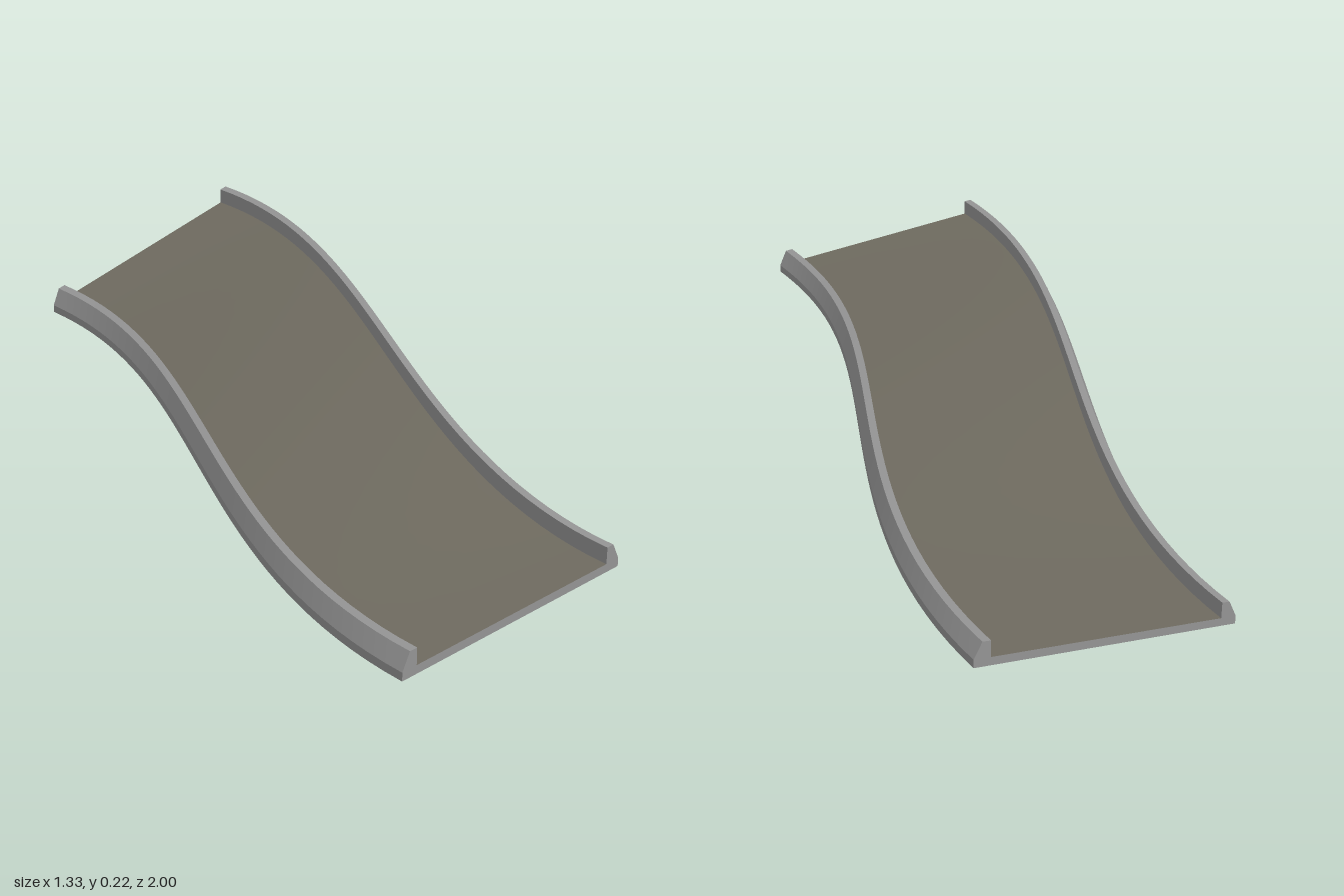
import * as THREE from 'three';

const STEPS = 40;
const HALF = 0.3333;
const smooth = (t) => t * t * (3 - 2 * t);

// Cross-section of the track, counter-clockwise seen from the front
const PROFILE = [
  [-HALF, 0], [HALF, 0], [HALF, 0.02], [0.313, 0.06], [0.293, 0.06],
  [0.293, 0.02], [-0.293, 0.02], [-0.293, 0.06], [-0.313, 0.06], [-HALF, 0.02],
];
const FLOOR_EDGE = 5;

// Place a section point at t along the S bend; the +x side climbs into a bank
function place([u, v], t) {
  const bank = 2 * HALF * 0.25 * smooth(Math.pow(t, 0.85));
  const x = u - HALF + 2 * HALF * smooth(t);
  return [x, v + bank * (u + HALF) / (2 * HALF), 1 - 2 * t];
}

// Sweep separate section edges so that corners along the track stay sharp
function sweep(edges) {
  const pos = [], index = [];
  for (const e of edges) {
    const base = pos.length / 3;
    for (let s = 0; s <= STEPS; s++) {
      pos.push(...place(PROFILE[e], s / STEPS), ...place(PROFILE[(e + 1) % PROFILE.length], s / STEPS));
    }
    for (let s = 0; s < STEPS; s++) {
      const a = base + 2 * s;
      index.push(a, a + 2, a + 1, a + 1, a + 2, a + 3);
    }
  }
  return build(pos, index);
}

// Flat end face of the track
function cap(t) {
  const pos = PROFILE.flatMap((p) => place(p, t));
  const tris = THREE.ShapeUtils.triangulateShape(PROFILE.map((p) => new THREE.Vector2(...p)), []);
  return build(pos, tris.flatMap(([a, b, c]) => (t === 0 ? [a, b, c] : [a, c, b])));
}

function build(pos, index) {
  const g = new THREE.BufferGeometry();
  g.setAttribute('position', new THREE.Float32BufferAttribute(pos, 3));
  g.setIndex(index);
  g.computeVertexNormals();
  return g;
}

export function createModel() {
  const group = new THREE.Group();
  group.name = 'bankedTrack';
  const grey = new THREE.MeshStandardMaterial({ color: 0x949494 });
  grey.name = 'rail grey';
  const brown = new THREE.MeshStandardMaterial({ color: 0x6e6a5f });
  brown.name = 'road brown grey';

  const add = (name, geometry, material) => {
    const mesh = new THREE.Mesh(geometry, material);
    mesh.name = name;
    group.add(mesh);
  };
  add('roadSurface', sweep([FLOOR_EDGE]), brown);
  add('underside', sweep([0]), grey);
  add('leftRail', sweep([1, 2, 3, 4]), grey);
  add('rightRail', sweep([6, 7, 8, 9]), grey);
  add('frontEnd', cap(0), grey);
  add('backEnd', cap(1), grey);
  return group;
}
